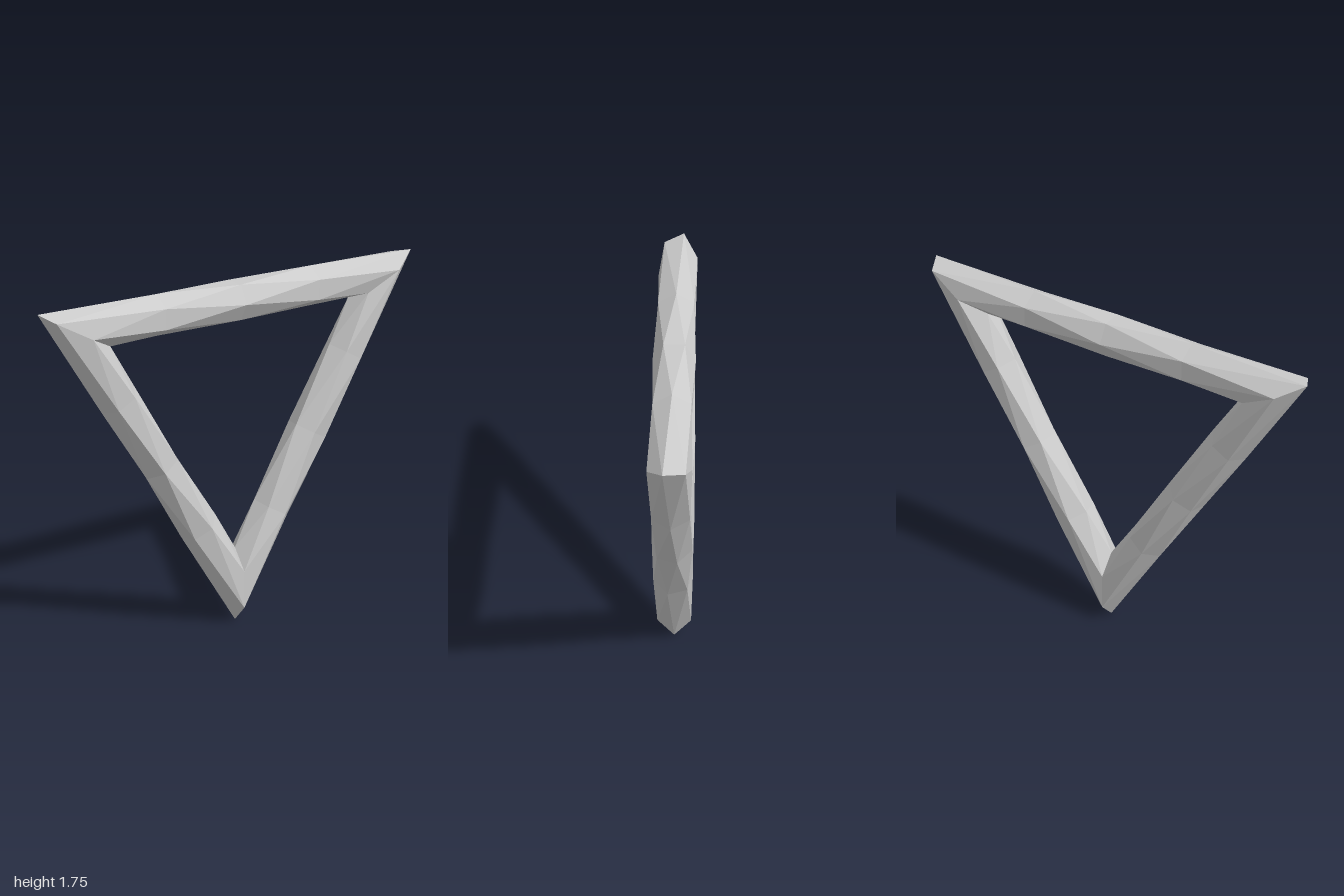
import * as THREE from 'three';

const R = 0.098;      // radius of the hexagonal section
const SIDES = 6;
const TOP = 1.648, LOW = 2 * R;
const HALF = (TOP - LOW) / Math.sqrt(3);

// corners of the centre line, counter-clockwise seen from the front
const corners = [[0, LOW], [HALF, TOP], [-HALF, TOP]].map(([x, y]) => new THREE.Vector3(x, y, 0));
const centre = new THREE.Vector3(0, LOW + (TOP - LOW) * 2 / 3, 0);

// twist of the section in degrees at equal steps along each bar
const bars = [
  { name: 'leftBar', from: 0, to: 1, twist: [0, 15, 45, 60, 75] },
  { name: 'topBar', from: 1, to: 2, twist: [15, 0, -30, -60, -75] },
  { name: 'rightBar', from: 2, to: 0, twist: [-75, -60, -45, -15, 0] },
];

function makeBar({ name, from, to, twist }, material) {
  const a = corners[from], b = corners[to];
  const dir = b.clone().sub(a).normalize();
  const out = new THREE.Vector3(dir.y, -dir.x, 0);
  const last = twist.length - 1;

  // hexagonal rings; the end rings are stretched into the mitre planes
  const rings = twist.map((deg, i) => {
    const mid = a.clone().lerp(b, i / last);
    const atEnd = i === 0 || i === last;
    const axis = atEnd ? mid.clone().sub(centre).normalize().multiplyScalar(2) : out;
    return Array.from({ length: SIDES }, (_, j) => {
      const t = THREE.MathUtils.degToRad(deg + j * 360 / SIDES);
      const p = mid.clone().addScaledVector(axis, R * Math.cos(t));
      p.z += R * Math.sin(t);
      return p;
    });
  });

  // two triangles per quad, split so that the skin bulges outward
  const points = [];
  for (let i = 0; i < last; i++) {
    const forward = twist[i + 1] > twist[i];
    for (let j = 0; j < SIDES; j++) {
      const k = (j + 1) % SIDES;
      const p = rings[i][j], q = rings[i + 1][j], r = rings[i + 1][k], s = rings[i][k];
      if (forward) points.push(p, q, s, q, r, s);
      else points.push(p, q, r, p, r, s);
    }
  }
  const geometry = new THREE.BufferGeometry().setFromPoints(points);
  geometry.computeVertexNormals();
  const mesh = new THREE.Mesh(geometry, material);
  mesh.name = name;
  return mesh;
}

export function createModel() {
  const group = new THREE.Group();
  group.name = 'twistedTriangle';
  const material = new THREE.MeshStandardMaterial({ color: 0xcccccc, flatShading: true });
  bars.forEach((bar) => group.add(makeBar(bar, material)));
  return group;
}
